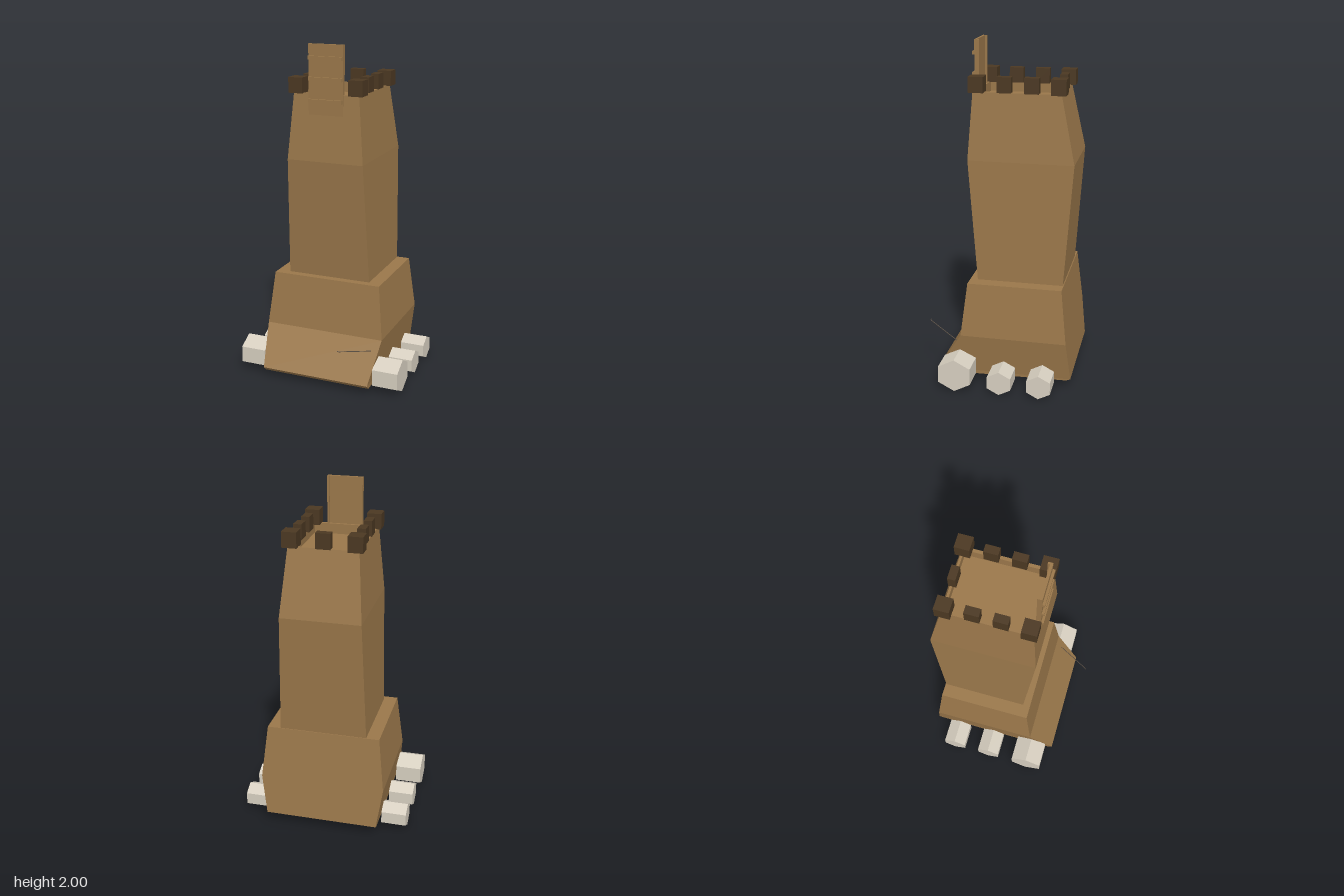
import * as THREE from 'three';

const wood = new THREE.MeshStandardMaterial({ name: 'wood', color: 0x9a774a, flatShading: true });
const darkWood = new THREE.MeshStandardMaterial({ name: 'darkWood', color: 0x4b3822, flatShading: true });
const paleWheel = new THREE.MeshStandardMaterial({ name: 'paleWheel', color: 0xd6cebf, flatShading: true });
const rope = new THREE.MeshStandardMaterial({ name: 'rope', color: 0x5c5145, flatShading: true });

// Closed faceted body from rectangular sections: [halfWidth, zFront, zBack, yFront, yBack]
function loft(sections) {
  const rings = sections.map(([hx, zf, zb, yf, yb = yf]) =>
    [[hx, yf, zf], [hx, yb, zb], [-hx, yb, zb], [-hx, yf, zf]]);
  const pos = [];
  const quad = (a, b, c, d) => pos.push(...a, ...b, ...c, ...a, ...c, ...d);
  for (let s = 0; s < rings.length - 1; s++) {
    for (let i = 0; i < 4; i++) {
      const j = (i + 1) % 4;
      quad(rings[s][i], rings[s][j], rings[s + 1][j], rings[s + 1][i]);
    }
  }
  const [b0, b1, b2, b3] = rings[0];
  quad(b3, b2, b1, b0);
  quad(...rings[rings.length - 1]);
  const geo = new THREE.BufferGeometry();
  geo.setAttribute('position', new THREE.Float32BufferAttribute(pos, 3));
  geo.computeVertexNormals();
  return geo;
}

export function createModel() {
  const model = new THREE.Group();
  model.name = 'siegeTower';

  const add = (name, geo, mat, parent = model) => {
    const mesh = new THREE.Mesh(geo, mat);
    mesh.name = name;
    parent.add(mesh);
    return mesh;
  };
  // Box given by its minimum and maximum corners
  const box = (name, mat, x0, x1, y0, y1, z0, z1, parent) => {
    const mesh = add(name, new THREE.BoxGeometry(x1 - x0, y1 - y0, z1 - z0), mat, parent);
    mesh.position.set((x0 + x1) / 2, (y0 + y1) / 2, (z0 + z1) / 2);
  };

  // Wide skirted base with a sloping front apron
  add('base', loft([
    [0.335, 0.33, -0.42, 0.035, 0.05],
    [0.335, 0.355, -0.447, 0.06],
    [0.37, 0.207, -0.42, 0.295],
    [0.335, 0.17, -0.385, 0.615],
  ]), wood);

  // Tower shaft, ending in a rim around a sunken fighting floor
  add('tower', loft([
    [0.257, 0.125, -0.38, 0.61],
    [0.234, 0.186, -0.43, 1.33],
    [0.2, 0.16, -0.347, 1.72],
    [0.18, 0.14, -0.333, 1.72],
    [0.18, 0.14, -0.333, 1.66],
  ]), wood);

  // Battlements: four corner blocks, side blocks and one at the back
  const battlements = new THREE.Group();
  battlements.name = 'battlements';
  model.add(battlements);
  for (const side of [-1, 1]) {
    const block = (name, xa, xb, z0, z1) => box(name, darkWood,
      Math.min(side * xa, side * xb), Math.max(side * xa, side * xb), 1.718, 1.808, z0, z1, battlements);
    block('cornerMerlon', 0.141, 0.226, 0.094, 0.18);
    block('cornerMerlon', 0.141, 0.226, -0.376, -0.29);
    block('sideMerlon', 0.157, 0.205, -0.062, 0.021);
    block('sideMerlon', 0.157, 0.205, -0.219, -0.136);
  }
  box('backMerlon', darkWood, -0.042, 0.042, 1.718, 1.808, -0.356, -0.311, battlements);

  // Raised drawbridge with cross battens in front and edge rails behind
  const bridge = new THREE.Group();
  bridge.name = 'drawbridge';
  model.add(bridge);
  box('bridgeBoard', wood, -0.104, 0.106, 1.6, 2.0, 0.155, 0.17, bridge);
  for (const y of [1.68, 1.805, 1.923]) box('batten', wood, -0.102, 0.104, y - 0.01, y + 0.01, 0.168, 0.184, bridge);
  for (const x of [-0.098, 0.1]) box('edgeRail', wood, x - 0.006, x + 0.006, 1.66, 2.0, 0.143, 0.156, bridge);

  // Six-sided wheels, large pair in front and two smaller pairs behind
  for (const [z, r, outer] of [[0.215, 0.11, 0.505], [-0.05, 0.08, 0.498], [-0.283, 0.08, 0.498]]) {
    for (const side of [-1, 1]) {
      const h = r * 0.9;
      const geo = new THREE.CylinderGeometry(r, r, outer - 0.35, 6);
      geo.rotateZ(Math.PI / 2);
      // Turn a corner to the top, then flatten slightly
      geo.computeBoundingBox();
      if (geo.boundingBox.max.y < r * 0.95) geo.rotateX(Math.PI / 6);
      geo.scale(1, h / r, 1);
      const wheel = add('wheel', geo, paleWheel);
      wheel.position.set(side * (outer + 0.35) / 2, h, z);
    }
  }

  // Thin tow line with a small hooked end
  const path = new THREE.CurvePath();
  const pts = [[0.32, 0.235, 0.24], [0.193, 0.293, 0.441], [0.184, 0.296, 0.443]]
    .map((p) => new THREE.Vector3(...p));
  path.add(new THREE.LineCurve3(pts[0], pts[1]));
  path.add(new THREE.LineCurve3(pts[1], pts[2]));
  add('towLine', new THREE.TubeGeometry(path, 24, 0.0025, 5), rope);

  return model;
}
